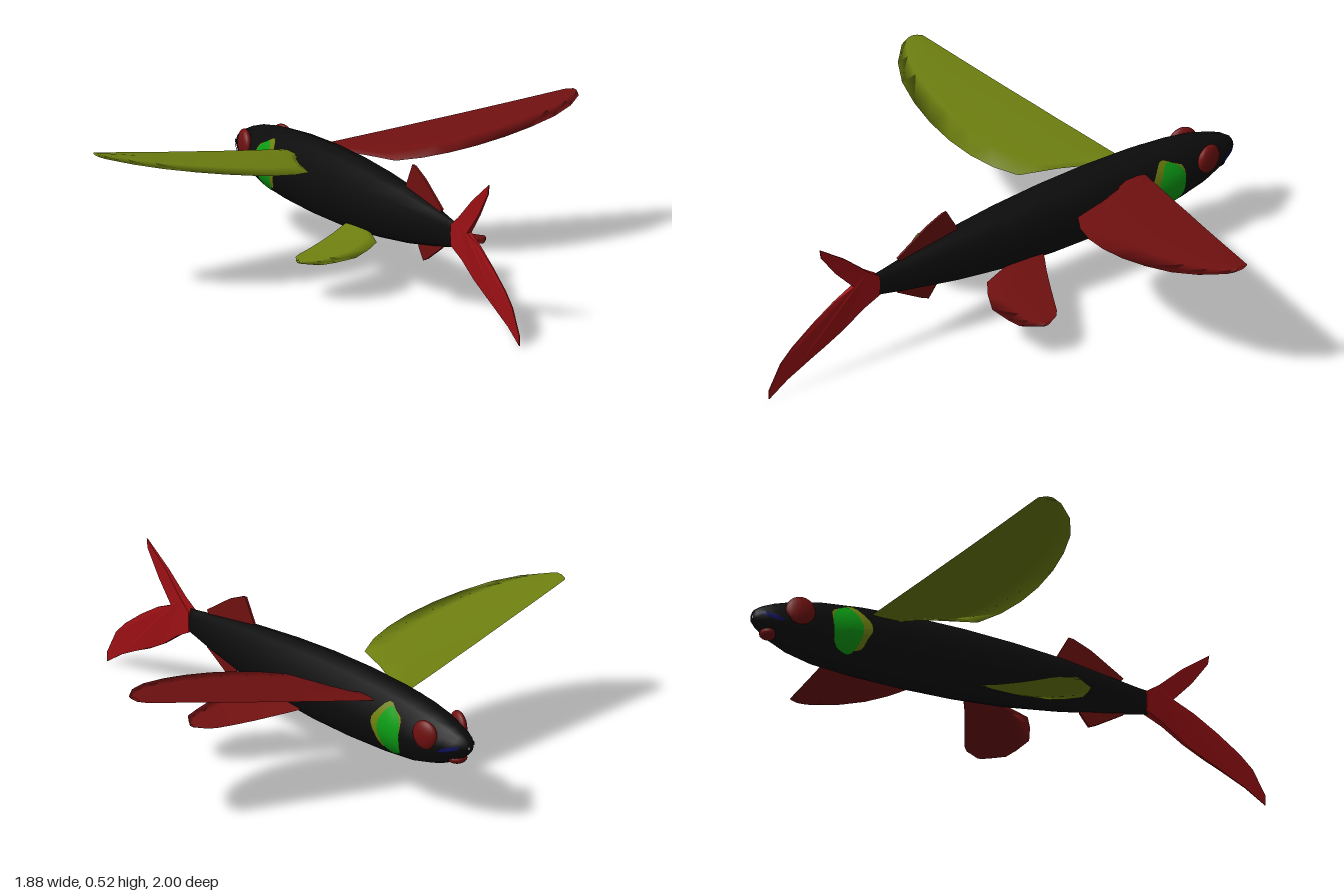
import * as THREE from 'three';

const mat = (name, color, side = THREE.FrontSide) => {
  const m = new THREE.MeshStandardMaterial({ color, side });
  m.name = name;
  return m;
};

// Body stations: z, top, bottom, half width (head at -z)
const BODY = [
  [-1, 0.295, 0.285, 0.003], [-0.995, 0.315, 0.268, 0.025], [-0.97, 0.333, 0.247, 0.045],
  [-0.93, 0.35, 0.222, 0.062], [-0.85, 0.374, 0.19, 0.084], [-0.75, 0.392, 0.167, 0.095],
  [-0.6, 0.407, 0.154, 0.1], [-0.4, 0.415, 0.147, 0.1], [-0.2, 0.413, 0.149, 0.096],
  [0, 0.402, 0.162, 0.088], [0.2, 0.386, 0.186, 0.066], [0.4, 0.358, 0.219, 0.035],
  [0.5, 0.343, 0.24, 0.018], [0.54, 0.338, 0.248, 0.012], [0.555, 0.3, 0.285, 0.002],
];

// Smooth surface through rows of points; closed joins each row into a ring
function loft(rows, closed) {
  const n = rows[0].length, index = [];
  for (let i = 0; i < rows.length - 1; i++) {
    for (let j = 0; j < (closed ? n : n - 1); j++) {
      const a = i * n + j, b = i * n + (j + 1) % n;
      index.push(a, b, a + n, b, b + n, a + n);
    }
  }
  const g = new THREE.BufferGeometry();
  g.setAttribute('position', new THREE.Float32BufferAttribute(rows.flat(2), 3));
  g.setIndex(index);
  g.computeVertexNormals();
  return g;
}

function bodyGeometry() {
  const sides = 12;
  return loft(BODY.map(([z, top, bottom, w]) => Array.from({ length: sides }, (_, j) => {
    const a = (j / sides) * Math.PI * 2;
    return [w * Math.cos(a), (top + bottom) / 2 + (top - bottom) / 2 * Math.sin(a), z];
  })), true);
}

// Half width of the body at a given height and z
function bodyX(y, z) {
  let i = 0;
  while (i < BODY.length - 2 && BODY[i + 1][0] < z) i++;
  const k = (z - BODY[i][0]) / (BODY[i + 1][0] - BODY[i][0]);
  const [, top, bottom, w] = BODY[i].map((v, c) => v + (BODY[i + 1][c] - v) * k);
  const t = (2 * y - top - bottom) / (top - bottom);
  return w * Math.sqrt(Math.max(0, 1 - t * t));
}

// Thin oval marking that follows the body side
function patch(side, { z, y, rz, ry, lift, bulge = 0, wobble = 0, slant = 0 }) {
  const g = new THREE.RingGeometry(0.001, 1, 28, 6);
  const p = g.attributes.position;
  for (let i = 0; i < p.count; i++) {
    const u = p.getX(i), v = p.getY(i), r = Math.hypot(u, v), a = Math.atan2(v, u);
    const s = 1 + wobble * Math.sin(5 * a + 1);
    const pz = z + u * rz * s, py = y + v * ry * s + slant * u;
    p.setXYZ(i, side * (bodyX(py, pz) + lift + bulge * (1 - r * r)), py, pz);
  }
  g.computeVertexNormals();
  return g;
}

// Paired fin: stations are x, leading z, trailing z
function pairedFin(side, stations, height, thick) {
  const section = [[0, 0.001], [0.3, 1], [0.76, 1], [1, -0.8], [0.76, -1], [0.3, -1], [0, -0.001]];
  return loft(stations.map(([x, lead, trail]) => section.map(([u, t]) =>
    [side * x, height(x) + t * thick, lead + (trail - lead) * u])), false);
}

// Upright fin on the centre line: outline in (z, y), thickness by z
function uprightFin(outline, half) {
  const shape = new THREE.Shape(outline.map(([z, y]) => new THREE.Vector2(-z, y)));
  const g = new THREE.ExtrudeGeometry(shape, { depth: 1, bevelEnabled: false });
  g.translate(0, 0, -0.5).rotateY(Math.PI / 2);
  const p = g.attributes.position;
  for (let i = 0; i < p.count; i++) p.setX(i, Math.sign(p.getX(i)) * half(p.getZ(i)));
  g.computeVertexNormals();
  return g;
}

const PECTORAL = [
  [0.06, -0.577, -0.48], [0.095, -0.569, -0.44], [0.13, -0.56, -0.35], [0.17, -0.551, -0.21],
  [0.25, -0.532, -0.16], [0.34, -0.51, -0.13], [0.44, -0.487, -0.115], [0.55, -0.46, -0.115],
  [0.66, -0.434, -0.13], [0.77, -0.408, -0.16], [0.86, -0.387, -0.21], [0.93, -0.37, -0.28],
  [0.94, -0.355, -0.305],
];
const PELVIC = [
  [0.05, -0.15, 0.02], [0.08, -0.135, 0.115], [0.13, -0.105, 0.15], [0.2, -0.068, 0.183],
  [0.27, -0.032, 0.17], [0.32, -0.006, 0.155], [0.345, 0.015, 0.12], [0.367, 0.06, 0.085],
];
const TAIL = [
  [0.53, 0.33], [0.58, 0.365], [0.67, 0.445], [0.78, 0.524], [0.775, 0.49], [0.71, 0.4],
  [0.637, 0.322], [0.72, 0.288], [0.81, 0.235], [0.9, 0.172], [0.95, 0.125], [1, 0.035],
  [1, 0], [0.92, 0.05], [0.84, 0.088], [0.76, 0.122], [0.68, 0.165], [0.6, 0.22], [0.53, 0.255],
];
const DORSAL = [[0.445, 0.363], [0.32, 0.442], [0.25, 0.472], [0.232, 0.474], [0.185, 0.39], [0.2, 0.35], [0.42, 0.33]];
const ANAL = [[0.445, 0.225], [0.34, 0.163], [0.31, 0.15], [0.275, 0.195], [0.29, 0.23], [0.42, 0.25]];

export function createModel() {
  const model = new THREE.Group();
  model.name = 'flyingFish';
  const black = mat('black skin', 0x0c0c0c);
  const red = mat('fin red', 0x701010, THREE.DoubleSide);
  const tailRed = mat('tail red', 0x9c1014, THREE.DoubleSide);
  const olive = mat('olive', 0x6e7f10, THREE.DoubleSide);
  const green = mat('gill green', 0x0c9a14, THREE.DoubleSide);
  const blue = mat('mouth blue', 0x10105a, THREE.DoubleSide);

  const add = (name, geometry, material) => {
    const mesh = new THREE.Mesh(geometry, material);
    mesh.name = name;
    model.add(mesh);
    return mesh;
  };

  add('body', bodyGeometry(), black);
  add('tailFin', uprightFin(TAIL, z => Math.max(0.002, 0.016 * (1 - (z - 0.53) / 0.25))), tailRed);
  add('dorsalFin', uprightFin(DORSAL, () => 0.004), red);
  add('analFin', uprightFin(ANAL, () => 0.004), red);

  // Lower jaw patch
  const chin = add('chin', new THREE.SphereGeometry(1, 16, 10), red);
  chin.scale.set(0.036, 0.02, 0.035);
  chin.position.set(0, 0.238, -0.935);

  // Mirrored parts: the left fins are red, the right ones olive
  for (const [side, label] of [[1, 'left'], [-1, 'right']]) {
    const finMat = side > 0 ? red : olive;
    add(label + 'PectoralFin', pairedFin(side, PECTORAL, x => 0.345 + 0.15 * x + 0.013 * x * x, 0.005), finMat);
    add(label + 'PelvicFin', pairedFin(side, PELVIC, x => 0.205 - 0.3 * x + 0.3 * x * x, 0.004), finMat);

    const eye = add(label + 'Eye', new THREE.SphereGeometry(1, 20, 14), red);
    eye.scale.set(0.022, 0.053, 0.053);
    eye.position.set(side * 0.074, 0.313, -0.85);
    eye.rotation.y = side * 0.22;

    add(label + 'GillEdge', patch(side, { z: -0.662, y: 0.287, rz: 0.077, ry: 0.085, lift: 0.003, wobble: 0.07 }), olive);
    add(label + 'Gill', patch(side, { z: -0.678, y: 0.275, rz: 0.058, ry: 0.088, lift: 0.005, bulge: 0.003, wobble: 0.04 }), green);
    add(label + 'Mouth', patch(side, { z: -0.948, y: 0.282, rz: 0.04, ry: 0.009, lift: 0.003, slant: -0.014 }), blue);
  }
  return model;
}
